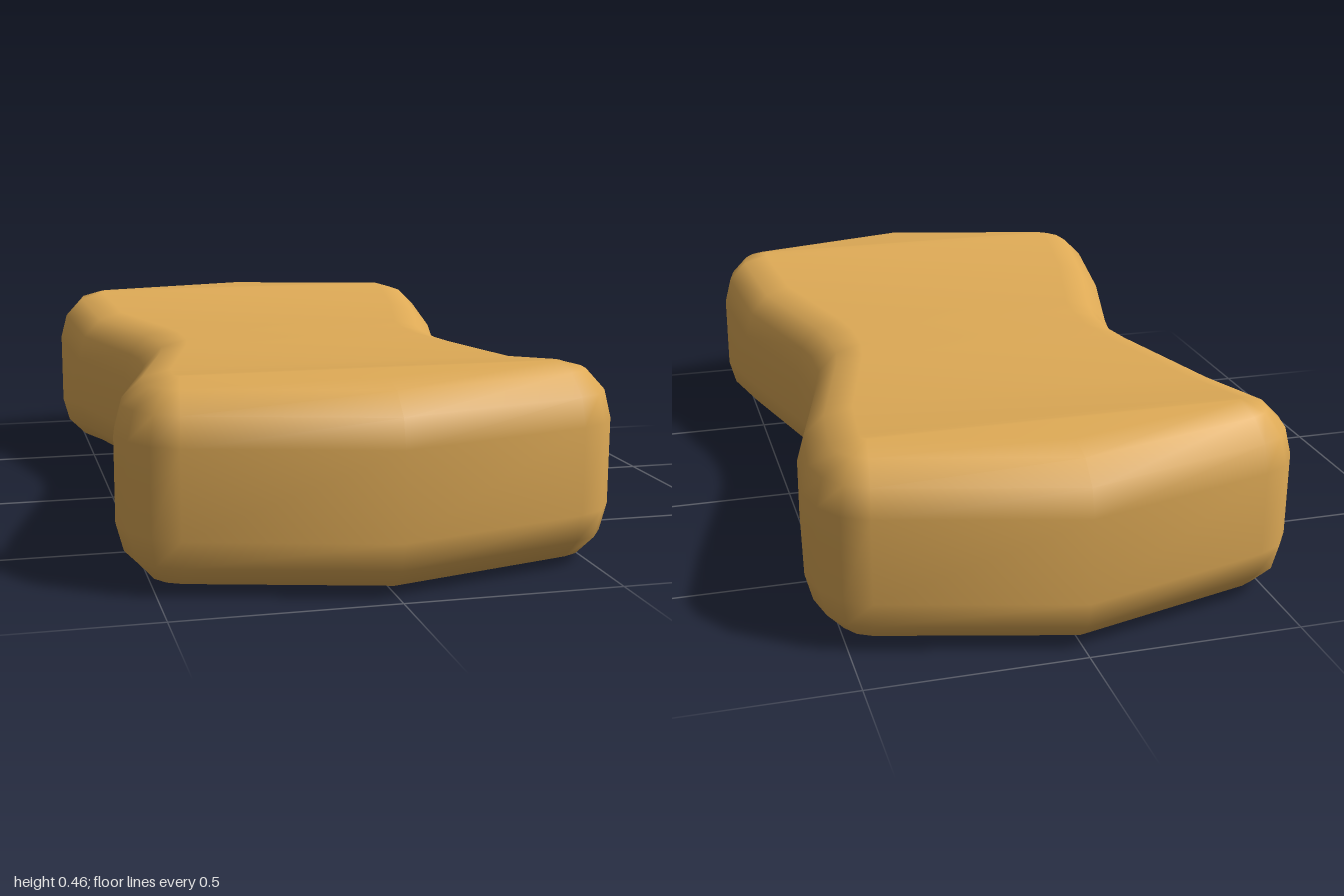
import * as THREE from 'three';
import { mergeVertices } from 'three/addons/utils/BufferGeometryUtils.js';

// Quarter outline from the pointed end to the waist: outer x, z and flat-face x, z
const QUARTER = [
  [0, 1, 0, 0.865],
  [0.45, 0.88, 0.43, 0.755],
  [0.51, 0.85, 0.435, 0.75],
  [0.55, 0.79, 0.44, 0.745],
  [0.57, 0.71, 0.44, 0.72],
  [0.54, 0.46, 0.41, 0.485],
  [0.45, 0.13, 0.32, 0.15],
  [0.436, 0.06, 0.305, 0.06],
];
const RADIUS = 0.13;
const MIDDLE = 0.23;

// Half thickness: slimmer at the waist, thicker at both ends
function halfHeight(z) {
  const t = THREE.MathUtils.clamp((Math.abs(z) - 0.49) / 0.25, 0, 1);
  return THREE.MathUtils.lerp(0.197, 0.23, t);
}

function bodyGeometry() {
  // Full outline, anticlockwise from above
  const half = [...QUARTER, ...[...QUARTER].reverse().map(([x, z, u, w]) => [x, -z, u, -w])];
  const outline = [...half, ...half.slice(1, -1).reverse().map(([x, z, u, w]) => [-x, z, -u, w])];
  const n = outline.length;

  // Rounded rim: rings from the lower face to the upper face
  const steps = [-90, -60, -30, 0, 0, 30, 60, 90];
  const positions = [];
  const index = [];
  steps.forEach((deg, j) => {
    const a = THREE.MathUtils.degToRad(deg);
    const side = j < steps.length / 2 ? -1 : 1;
    for (const [x, z, u, w] of outline) {
      const k = Math.cos(a);
      const y = MIDDLE + side * (halfHeight(w) - RADIUS) + RADIUS * Math.sin(a);
      positions.push(u + (x - u) * k, y, w + (z - w) * k);
    }
  });
  for (let j = 0; j < steps.length - 1; j++) {
    for (let i = 0; i < n; i++) {
      const a = j * n + i, b = j * n + (i + 1) % n;
      index.push(a, b, b + n, a, b + n, a + n);
    }
  }

  // Upper and lower faces, in strips across the width
  const top = (steps.length - 1) * n;
  for (let i = 0; i < half.length - 1; i++) {
    const a = i, b = i + 1, c = (n - i - 1) % n, d = (n - i) % n;
    if (b !== c) {
      index.push(top + a, top + b, top + c);
      index.push(c, b, a);
    }
    if (a !== d) {
      index.push(top + a, top + c, top + d);
      index.push(d, c, a);
    }
  }

  const geometry = new THREE.BufferGeometry();
  geometry.setAttribute('position', new THREE.Float32BufferAttribute(positions, 3));
  geometry.setIndex(index);
  const merged = mergeVertices(geometry, 1e-4);
  merged.computeVertexNormals();
  return merged;
}

export function createModel() {
  const group = new THREE.Group();
  group.name = 'waistedBlock';
  const body = new THREE.Mesh(bodyGeometry(), new THREE.MeshStandardMaterial({ color: 0xdeaa56 }));
  body.name = 'body';
  group.add(body);
  return group;
}
